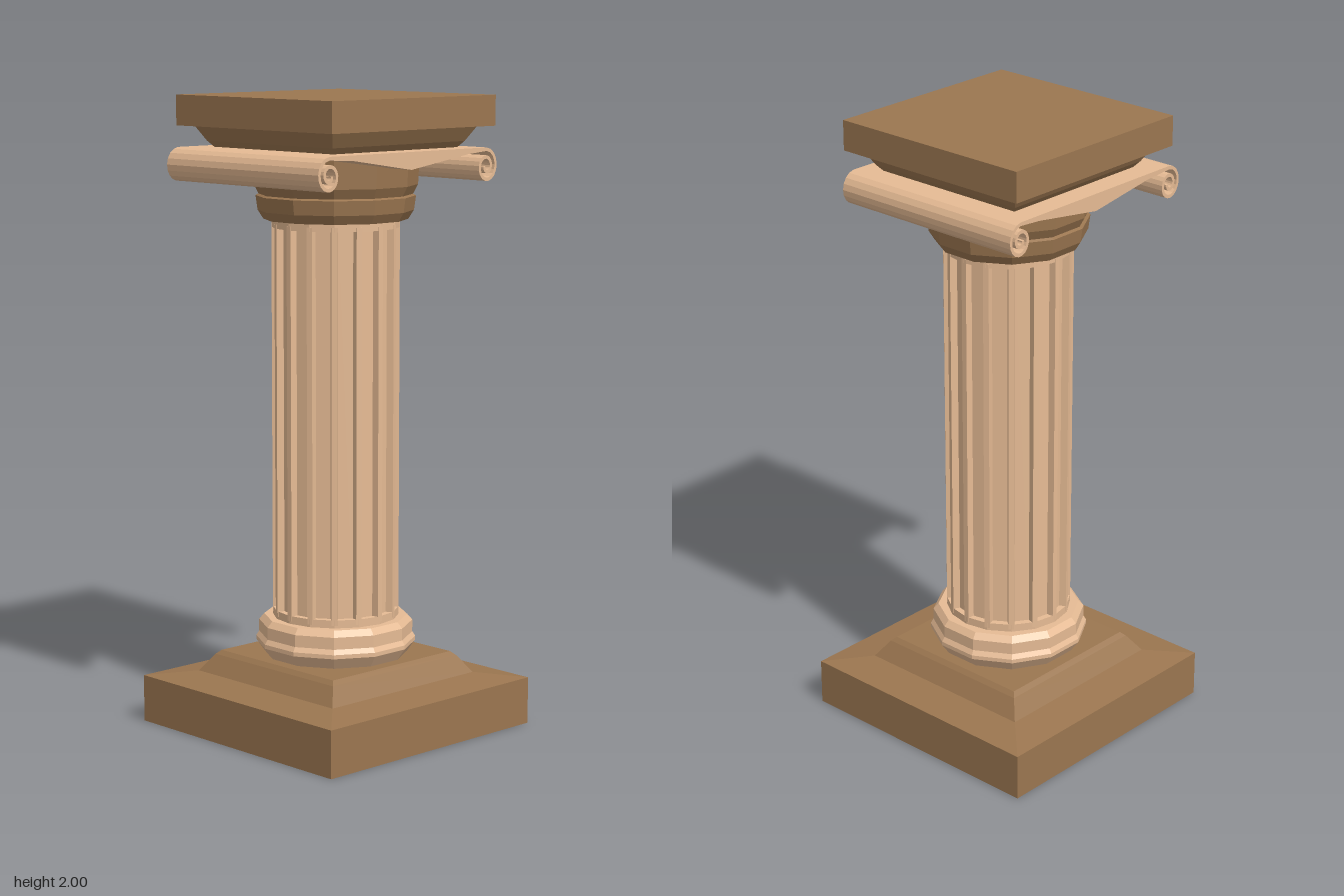
import * as THREE from 'three';

const stone = new THREE.MeshStandardMaterial({ color: 0xe6bb94, flatShading: true, side: THREE.DoubleSide });
const brown = new THREE.MeshStandardMaterial({ color: 0x9b7650, flatShading: true });

const V = (x, y) => new THREE.Vector2(x, y);

function add(parent, name, geometry, material) {
  const mesh = new THREE.Mesh(geometry, material);
  mesh.name = name;
  parent.add(mesh);
  return mesh;
}

// Faceted solid with flat sides to the front; the profile lists [half width, y] from bottom to top
function prism(profile, sides) {
  const k = 1 / Math.cos(Math.PI / sides);
  const pts = profile.map(([r, y]) => V(r * k, y));
  pts.unshift(V(0, profile[0][1]));
  pts.push(V(0, profile[profile.length - 1][1]));
  return new THREE.LatheGeometry(pts, sides, Math.PI / sides);
}

// Extrusion along z, centred on z = 0
function slab(points, depth) {
  const g = new THREE.ExtrudeGeometry(new THREE.Shape(points), { depth, bevelEnabled: false });
  return g.translate(0, 0, -depth / 2);
}

// Cross-section of the shaft: narrow ribs with sunken flutes between
function flutedOutline(count, rOuter, rInner) {
  const pts = [];
  const step = (Math.PI * 2) / count;
  for (let i = 0; i < count; i++) {
    const a = i * step;
    for (const [r, d] of [[rInner, -0.065], [rOuter, -0.045], [rOuter, 0.045], [rInner, 0.065]]) {
      pts.push(V(r * Math.cos(a + d), r * Math.sin(a + d)));
    }
  }
  return pts;
}

// Ribbon curling outward and down from the top of a spiral
function voluteOutline(cx, cy, side) {
  const outer = [], inner = [];
  const steps = 30, turns = 1.75, thick = 0.011;
  for (let i = 0; i <= steps; i++) {
    const t = i / steps;
    const a = Math.PI / 2 - t * turns * Math.PI * 2;
    const r = 0.058 - 0.042 * t;
    const at = (q) => V(cx + side * 0.88 * q * Math.cos(a), cy + q * Math.sin(a));
    outer.push(at(r));
    inner.push(at(r - thick));
  }
  return [...outer, ...inner.reverse()];
}

export function createModel() {
  const model = new THREE.Group();
  model.name = 'column';

  // Square foot
  add(model, 'plinth', prism([
    [0.435, 0], [0.435, 0.15], [0.31, 0.167], [0.272, 0.222], [0.258, 0.235],
  ], 4), brown);

  // Rounded ring under the shaft
  add(model, 'baseRing', prism([
    [0.218, 0.233], [0.245, 0.272], [0.245, 0.285], [0.236, 0.3], [0.236, 0.338], [0.22, 0.357],
  ], 12), stone);

  // Fluted shaft with a plain collar at each end
  const shaft = new THREE.Group();
  shaft.name = 'shaft';
  model.add(shaft);
  const flutes = slab(flutedOutline(16, 0.2, 0.178), 1.24);
  flutes.rotateX(-Math.PI / 2).translate(0, 0.985, 0);
  add(shaft, 'flutes', flutes, stone);
  for (const [name, y0, y1] of [['lowerCollar', 0.35, 0.382], ['upperCollar', 1.592, 1.625]]) {
    const collar = new THREE.CylinderGeometry(0.2, 0.2, y1 - y0, 16);
    add(shaft, name, collar.translate(0, (y0 + y1) / 2, 0), stone);
  }

  // Bell of the capital
  add(model, 'capitalBell', prism([
    [0.218, 1.617], [0.235, 1.645], [0.241, 1.69], [0.232, 1.695], [0.247, 1.725], [0.252, 1.832],
  ], 12), brown);

  // Scroll: a shallow V slab with a curl at either end
  const scroll = new THREE.Group();
  scroll.name = 'scroll';
  model.add(scroll);
  const xRight = -0.35, xLeft = 0.32, yCurl = 1.781, depth = 0.68;
  add(scroll, 'scrollSlab', slab([
    V(xRight, 1.839), V(xRight, 1.828), V(-0.25, 1.822), V(-0.01, 1.785),
    V(0.24, 1.822), V(xLeft, 1.828), V(xLeft, 1.839),
  ], depth), stone);
  add(scroll, 'rightVolute', slab(voluteOutline(xRight, yCurl, -1), depth), stone);
  add(scroll, 'leftVolute', slab(voluteOutline(xLeft, yCurl, 1), depth), stone);

  // Flared block and square top slab
  add(model, 'abacusNeck', prism([[0.265, 1.838], [0.282, 1.858], [0.31, 1.906]], 4), brown);
  const top = new THREE.BoxGeometry(0.698, 0.095, 0.698);
  add(model, 'abacus', top.translate(0, 1.9525, 0), brown);

  return model;
}
